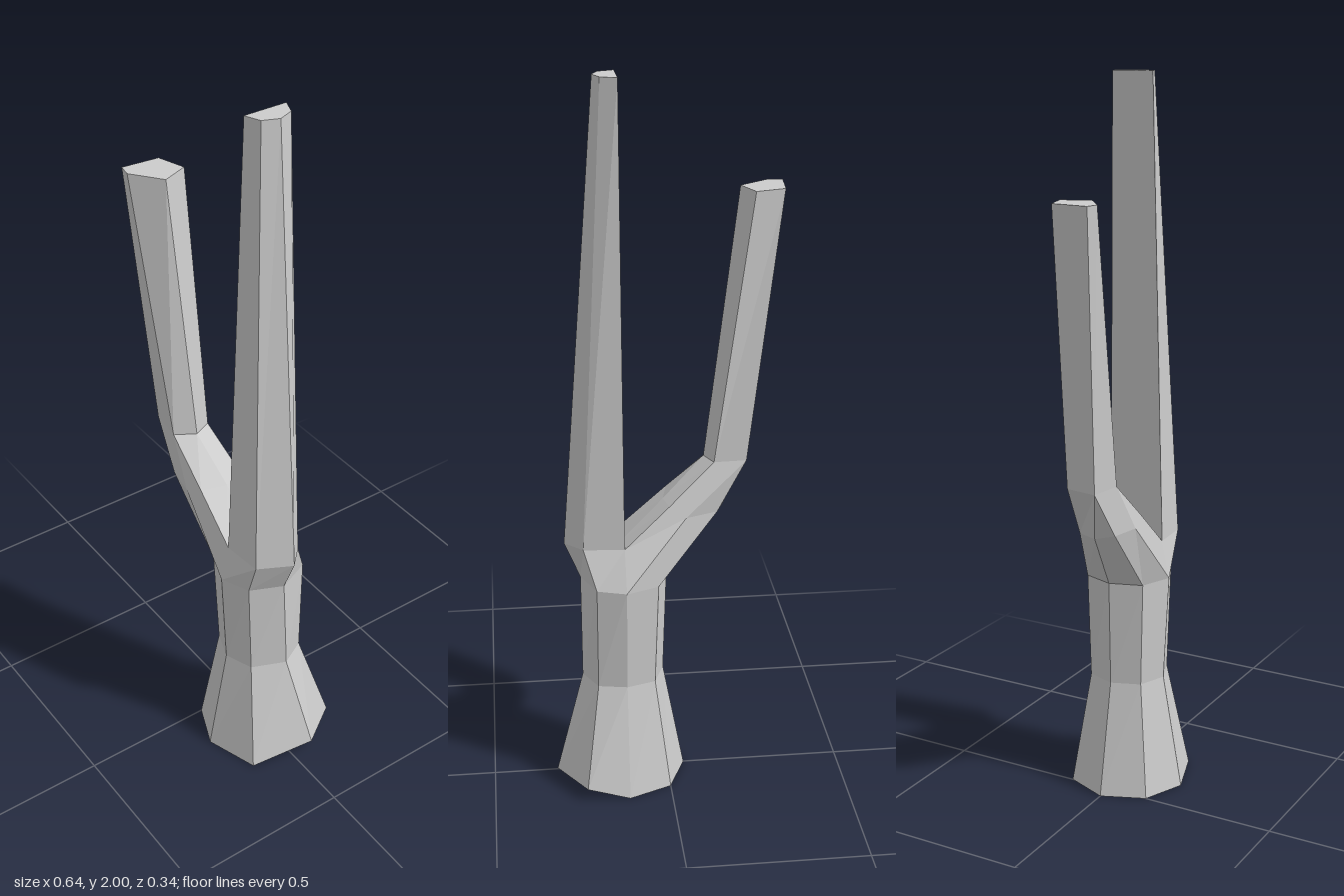
import * as THREE from 'three';

const material = new THREE.MeshStandardMaterial({ color: 0xcccccc, flatShading: true });

// Joins successive cross-sections (arrays of [x, y, z]) into a faceted skin.
function loft(name, rings, { closed = true, capStart = false, capEnd = false } = {}) {
  const out = [];
  const tri = (a, b, c) => {
    const [p, q, r] = [a, b, c].map((v) => new THREE.Vector3(...v));
    if (new THREE.Triangle(p, q, r).getArea() > 1e-7) out.push(...a, ...b, ...c);
  };
  for (let k = 0; k < rings.length - 1; k++) {
    const lo = rings[k], hi = rings[k + 1], n = lo.length;
    for (let i = 0; i < (closed ? n : n - 1); i++) {
      const j = (i + 1) % n;
      tri(lo[i], lo[j], hi[j]);
      tri(lo[i], hi[j], hi[i]);
    }
  }
  const cap = (ring, flip) => {
    for (let i = 1; i < ring.length - 1; i++) {
      if (flip) tri(ring[0], ring[i + 1], ring[i]);
      else tri(ring[0], ring[i], ring[i + 1]);
    }
  };
  if (capStart) cap(rings[0], true);
  if (capEnd) cap(rings[rings.length - 1], false);
  const geometry = new THREE.BufferGeometry();
  geometry.setAttribute('position', new THREE.Float32BufferAttribute(out, 3));
  geometry.computeVertexNormals();
  const mesh = new THREE.Mesh(geometry, material);
  mesh.name = name;
  return mesh;
}

// Lifts [x, z] outline points to height y.
const level = (y, points) => points.map(([x, z]) => [x, y, z]);

export function createModel() {
  const group = new THREE.Group();
  group.name = 'forkedTrunk';

  // Lower trunk: eight-sided, flared at the root, two root corners raised
  const base = level(0, [[0.12, 0.17], [0.27, 0.12], [0.32, -0.055], [0.24, -0.173],
    [0.12, -0.17], [0, -0.12], [-0.05, 0], [0, 0.12]]);
  base[2][1] = base[3][1] = 0.04;
  const waist = level(0.325, [[0.12, 0.11], [0.2, 0.08], [0.24, -0.015], [0.2, -0.09],
    [0.12, -0.105], [0.04, -0.08], [0.01, 0], [0.04, 0.08]]);
  const shoulder = level(0.625, [[0.12, 0.125], [0.2, 0.09], [0.24, 0], [0.2, -0.095],
    [0.12, -0.12], [0.03, -0.085], [0, 0], [0.03, 0.09]]);
  group.add(loft('lowerTrunk', [base, waist, shoulder], { capStart: true }));

  // Fork: front, centre and back of the crotch, shared by both limbs
  const [crotchFront, crotchMid, crotchBack] = level(0.73, [[0.12, 0.102], [0.12, 0.01], [0.12, -0.06]]);
  const stemRight = level(0.73, [[0.235, 0.093], [0.283, 0], [0.233, -0.05]]);
  const stemHalf = [crotchFront, ...stemRight, crotchBack];
  group.add(loft('stemCollar', [shoulder.slice(0, 5), stemHalf], { closed: false }));

  // Tall tapering stem
  const stemTop = level(2, [[0.125, 0.06], [0.168, 0.043], [0.185, 0], [0.168, -0.042],
    [0.125, -0.06], [0.125, 0]]);
  group.add(loft('mainStem', [[...stemHalf, crotchMid], stemTop], { capEnd: true }));

  // Side branch: five-sided, bent at an elbow; corners repeat to meet the fork
  const spread = ([back, outerBack, outerFront, front, inner]) =>
    [back, outerBack, outerFront, outerFront, front, front, inner, back];
  const root = [...shoulder.slice(4), shoulder[0], crotchFront, crotchMid, crotchBack];
  const bend = [[-0.05, 0.81, -0.045], [-0.14, 0.81, -0.01], [-0.165, 0.81, 0.05], [-0.145, 0.82, 0.1],
    [-0.06, 0.82, 0.115], [-0.01, 0.845, 0.102], [0.007, 0.84, 0.027], [-0.005, 0.84, -0.033]];
  const elbow = spread(level(0.955, [[-0.13, -0.005], [-0.22, 0], [-0.235, 0.09],
    [-0.14, 0.102], [-0.107, 0.047]]));
  const tip = spread(level(1.7, [[-0.23, -0.01], [-0.31, 0.015], [-0.32, 0.12],
    [-0.283, 0.127], [-0.2, 0.065]]));
  group.add(loft('sideBranch', [root, bend, elbow, tip], { capEnd: true }));

  return group;
}
